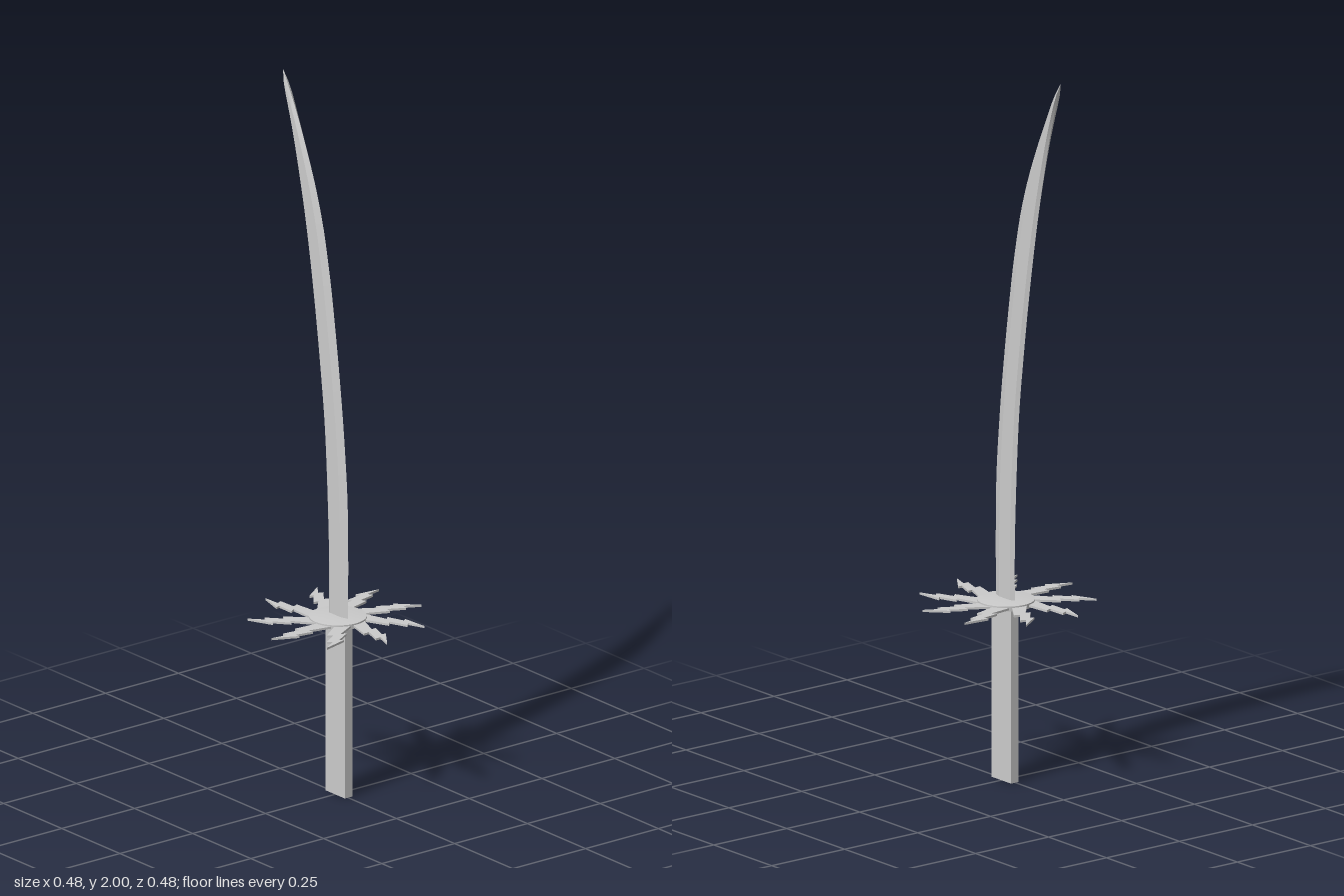
import * as THREE from 'three';
import { toCreasedNormals } from 'three/addons/utils/BufferGeometryUtils.js';

const material = new THREE.MeshStandardMaterial({ color: 0xcccccc });

function part(name, geometry) {
  const mesh = new THREE.Mesh(geometry, material);
  mesh.name = name;
  return mesh;
}

// Curved blade: six-sided sections between a cutting edge and a spine
function bladeGeometry() {
  const spline = (pts) => new THREE.SplineCurve(pts.map(([z, y]) => new THREE.Vector2(z, y)));
  const edge = spline([[0.04, 0.49], [0.039, 0.8], [0.025, 1.0], [0.002, 1.2], [-0.027, 1.4],
    [-0.045, 1.5], [-0.067, 1.6], [-0.098, 1.7], [-0.138, 1.8], [-0.184, 1.9], [-0.238, 2]]);
  const spine = spline([[-0.042, 0.49], [-0.043, 0.7], [-0.058, 1.0], [-0.08, 1.2], [-0.108, 1.4],
    [-0.142, 1.6], [-0.184, 1.8], [-0.21, 1.9], [-0.24, 2]]);
  const zAt = (points, y) => {
    let i = 1;
    while (i < points.length - 1 && points[i].y < y) i++;
    const a = points[i - 1], b = points[i];
    return a.x + (b.x - a.x) * (y - a.y) / (b.y - a.y);
  };
  const edgePoints = edge.getPoints(150), spinePoints = spine.getPoints(150);
  const section = [[0, 0], [1, 0.3], [1, 0.87], [0, 1], [-1, 0.87], [-1, 0.3]];
  const rows = 48, n = section.length, position = [], index = [];
  for (let r = 0; r <= rows; r++) {
    const y = 0.49 + 1.51 * r / rows;
    const front = zAt(edgePoints, y), back = zAt(spinePoints, y);
    const half = 0.008 * Math.max(0.02, Math.min(1, (2 - y) / 0.04));
    for (const [sx, t] of section) position.push(sx * half, y, front + (back - front) * t);
  }
  for (let r = 0; r < rows; r++) {
    for (let i = 0; i < n; i++) {
      const a = r * n + i, b = r * n + (i + 1) % n;
      index.push(a, b, b + n, a, b + n, a + n);
    }
  }
  for (let i = 1; i < n - 1; i++) {
    index.push(0, i + 1, i, rows * n, rows * n + i, rows * n + i + 1);
  }
  const geometry = new THREE.BufferGeometry();
  geometry.setAttribute('position', new THREE.Float32BufferAttribute(position, 3));
  geometry.setIndex(index);
  return toCreasedNormals(geometry, 0.15);
}

// Flat zigzag bolt pointing towards +z
function boltGeometry() {
  const outline = [[0.043, 0.052], [0.011, 0.132], [0.026, 0.13], [0.008, 0.179], [0.0205, 0.18],
    [-0.024, 0.242], [-0.009, 0.195], [-0.025, 0.195], [-0.009, 0.145], [-0.026, 0.145], [-0.004, 0.06]];
  const shape = new THREE.Shape(outline.map(([x, y]) => new THREE.Vector2(x, y)));
  const geometry = new THREE.ExtrudeGeometry(shape, { depth: 0.006, bevelEnabled: false });
  return geometry.translate(0, 0, -0.003).rotateX(Math.PI / 2);
}

export function createModel() {
  const model = new THREE.Group();
  model.name = 'sword';
  model.position.x = 0.002;

  model.add(part('blade', bladeGeometry()));

  // Plain rectangular grip
  const grip = part('grip', new THREE.BoxGeometry(0.026, 0.5, 0.084));
  grip.position.y = 0.25;
  model.add(grip);

  // Round guard, slightly sloped towards its rim
  const guard = new THREE.Group();
  guard.name = 'guard';
  guard.position.set(0, 0.5, -0.004);
  const profile = [[0, -0.01], [0.045, -0.01], [0.078, -0.007], [0.078, 0.007], [0.045, 0.01], [0, 0.01]];
  const disc = new THREE.LatheGeometry(profile.map(([x, y]) => new THREE.Vector2(x, y)), 48);
  guard.add(part('guardDisc', toCreasedNormals(disc, 0.5)));

  // Ring of nine bolts
  const bolt = boltGeometry();
  for (let i = 0; i < 9; i++) {
    const ray = part('guardBolt', bolt);
    ray.rotation.y = i * Math.PI * 2 / 9;
    guard.add(ray);
  }
  model.add(guard);
  return model;
}
